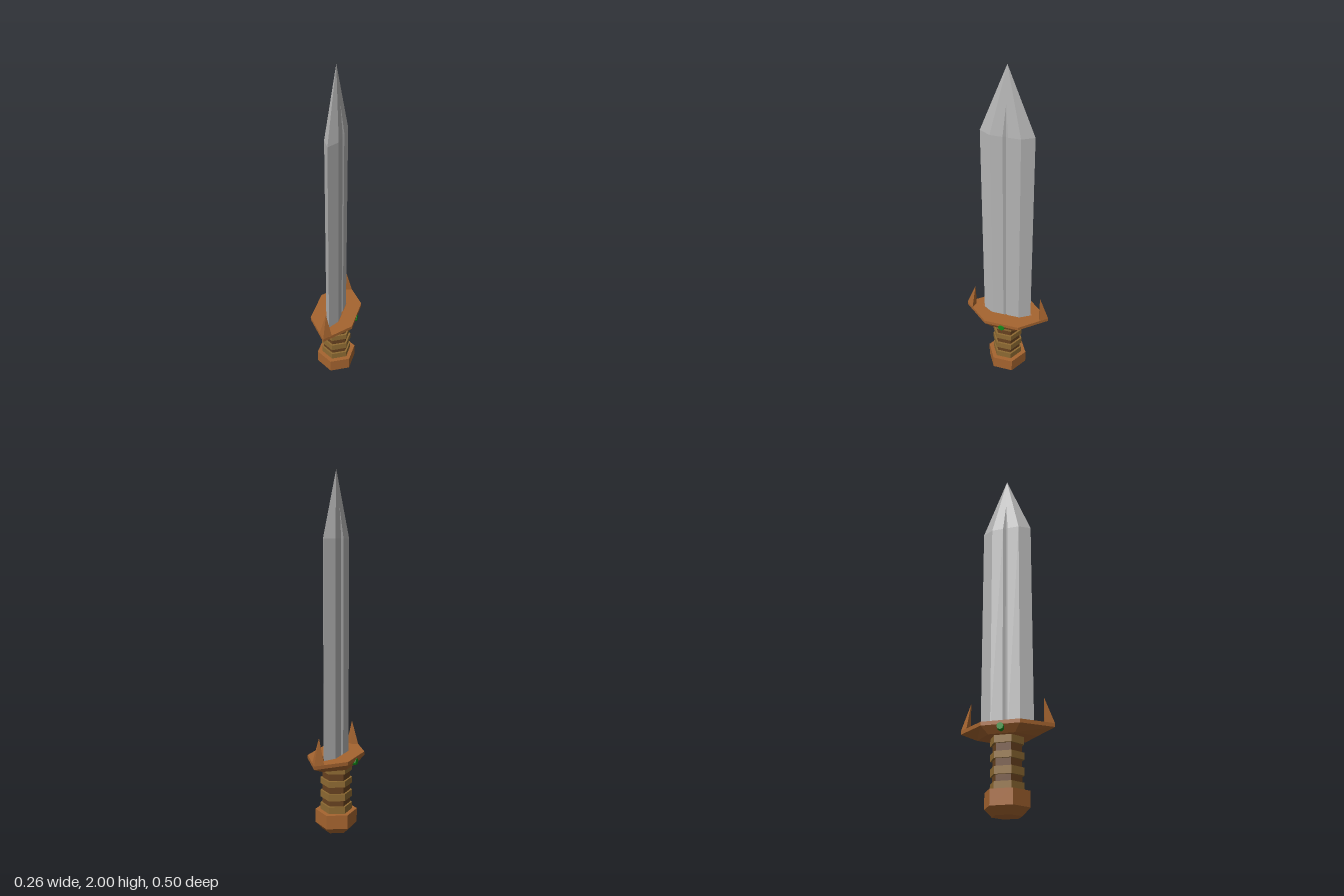
import * as THREE from 'three';

// Skin a stack of equal-sized rings (counter-clockwise from above), capped at both ends
function loft(rings) {
  const pos = [];
  const tri = (...pts) => pts.forEach((p) => pos.push(...p));
  const n = rings[0].length;
  const centre = (r) => [0, 1, 2].map((k) => r.reduce((s, p) => s + p[k], 0) / n);
  const first = rings[0], last = rings[rings.length - 1];
  const c0 = centre(first), c1 = centre(last);
  for (let i = 0; i < n; i++) {
    const j = (i + 1) % n;
    for (let r = 0; r < rings.length - 1; r++) {
      const lo = rings[r], hi = rings[r + 1];
      tri(lo[i], lo[j], hi[j]);
      tri(lo[i], hi[j], hi[i]);
    }
    tri(c0, first[j], first[i]);
    tri(c1, last[i], last[j]);
  }
  const g = new THREE.BufferGeometry();
  g.setAttribute('position', new THREE.Float32BufferAttribute(pos, 3));
  g.computeVertexNormals();
  return g;
}

// Long hexagon: tips at z = +-tip, flat sides at x = +-w spanning z = +-side
const hex = (y, tip, w, side) => [
  [0, y, tip], [w, y, side], [w, y, -side], [0, y, -tip], [-w, y, -side], [-w, y, side],
];
const regularHex = (y, r) => hex(y, r, r * Math.sqrt(3) / 2, r / 2);

// Blade section with a V groove on each broad side
function bladeRing(y, s, grooveHalf, grooveX) {
  const half = [
    [0, y, 0.143 * s], [0.037 * s, y, 0.08 * s], [0.037 * s, y, grooveHalf],
    [grooveX, y, 0], [0.037 * s, y, -grooveHalf], [0.037 * s, y, -0.08 * s],
  ];
  return [...half, ...half.map(([x, yy, z]) => [-x, yy, -z])];
}

export function createModel() {
  const group = new THREE.Group();
  const mat = (color) => new THREE.MeshStandardMaterial({ color, flatShading: true });
  const steel = mat(0xb4b4b4), bronze = mat(0xa5642f);
  const lightWrap = mat(0x8e6a32), darkWrap = mat(0x68421f), green = mat(0x118a18);
  const add = (name, geometry, material) => {
    const mesh = new THREE.Mesh(geometry, material);
    mesh.name = name;
    group.add(mesh);
    return mesh;
  };

  // Blade: straight body, groove closing partway up the point
  const s = (2 - 1.81) / (2 - 1.64);
  add('blade', loft([
    bladeRing(0.42, 1, 0.014, 0.027),
    bladeRing(1.64, 1, 0.014, 0.027),
    bladeRing(1.81, s, 0, 0.037 * s),
    bladeRing(2, 0, 0, 0),
  ]), steel);

  // Guard: bevelled underneath, shallow socket around the blade
  add('guard', loft([
    hex(0.39, 0.16, 0.1, 0.07),
    hex(0.43, 0.252, 0.127, 0.102),
    hex(0.45, 0.252, 0.127, 0.102),
    hex(0.45, 0.157, 0.042, 0.085),
    hex(0.44, 0.143, 0.037, 0.08),
  ]), bronze);

  // Upturned prongs at both ends of the guard
  for (const [name, turn] of [['frontProng', 0], ['backProng', Math.PI]]) {
    const base = [[0, 0.449, 0.252], [0.037, 0.449, 0.208], [0, 0.449, 0.195], [-0.037, 0.449, 0.208]];
    const tip = base.map(() => [0, 0.592, 0.198]);
    add(name, loft([base, tip]), bronze).rotation.y = turn;
  }

  // Gems set in the broad sides of the guard
  for (const [name, side] of [['leftGem', 1], ['rightGem', -1]]) {
    const gem = add(name, new THREE.CylinderGeometry(0.018, 0.025, 0.03, 8), green);
    gem.rotation.z = -side * Math.PI / 2;
    gem.position.set(side * 0.115, 0.421, 0);
  }

  // Grip: alternating raised and sunken bands
  const bands = [0.115, 0.16, 0.195, 0.235, 0.275, 0.31, 0.352, 0.392];
  for (let i = 0; i < bands.length - 1; i++) {
    const raised = i % 2 === 0, r = raised ? 0.09 : 0.078;
    add(raised ? 'gripRing' : 'gripBand',
      loft([regularHex(bands[i], r), regularHex(bands[i + 1], r)]), raised ? lightWrap : darkWrap);
  }

  // Pommel
  add('pommel', loft([regularHex(0, 0.078), regularHex(0.04, 0.118), regularHex(0.12, 0.118)]), bronze);

  return group;
}
